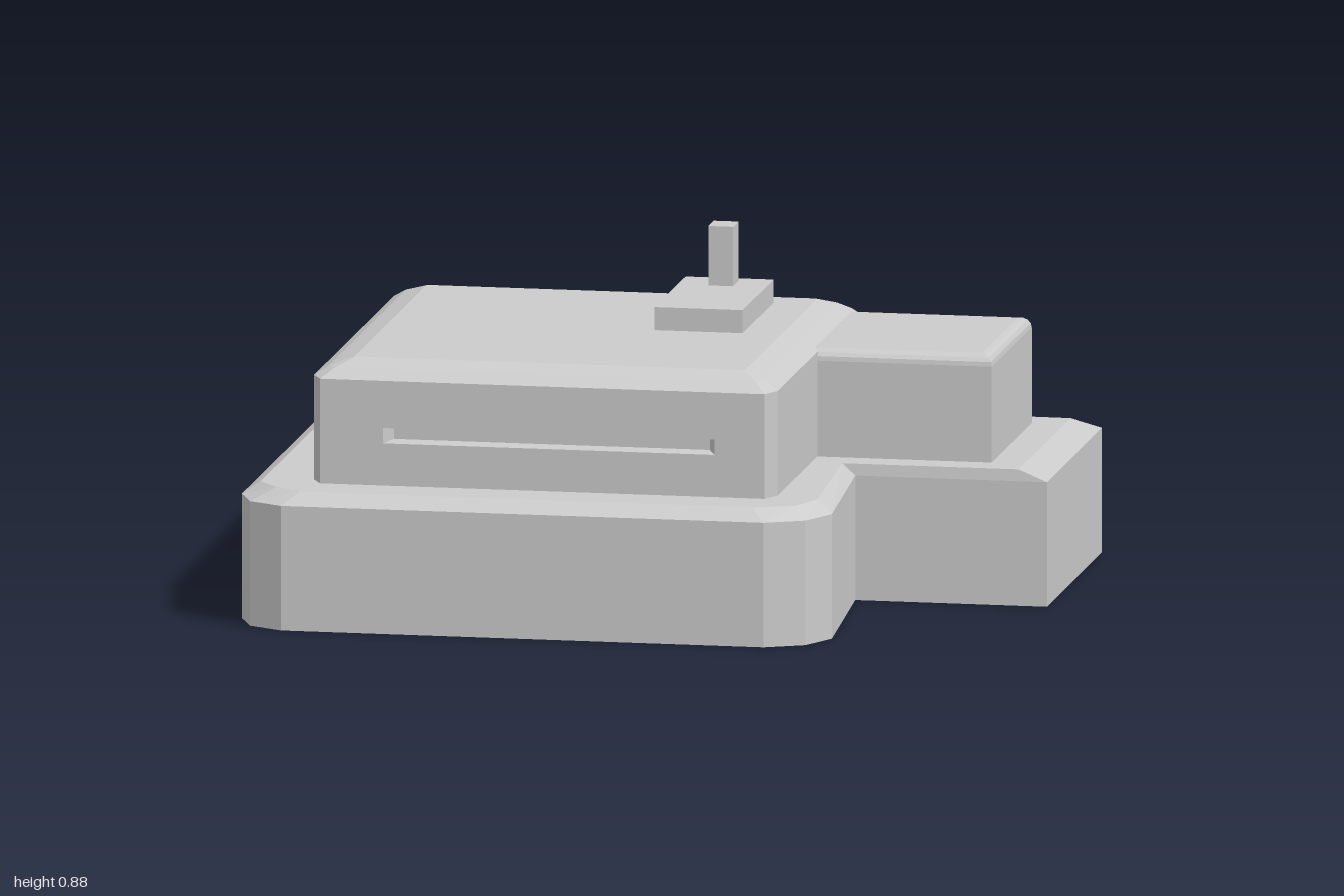
import * as THREE from 'three';

const material = new THREE.MeshStandardMaterial({ color: 0xcccccc, flatShading: true });
const openMaterial = new THREE.MeshStandardMaterial({ color: 0xcccccc, flatShading: true, side: THREE.DoubleSide });

// Joins stacked outlines [x, z] (counterclockwise from above) into a solid.
// skip: index of a lowest-tier wall to leave open.
function loft(levels, { skip = -1, top = true, bottom = true } = {}) {
  const pos = [];
  const tri = (...pts) => pts.forEach(p => pos.push(...p));
  const rings = levels.map(([y, pts]) => pts.map(([x, z]) => [x, y, z]));
  const n = rings[0].length;
  for (let k = 0; k < rings.length - 1; k++) {
    for (let i = 0; i < n; i++) {
      if (k === 0 && i === skip) continue;
      const j = (i + 1) % n;
      const a = rings[k][i], b = rings[k][j], c = rings[k + 1][j], d = rings[k + 1][i];
      tri(a, b, c);
      tri(a, c, d);
    }
  }
  const cap = (ring, up) => {
    const flat = ring.map(p => new THREE.Vector2(p[0], -p[2]));
    for (const [a, b, c] of THREE.ShapeUtils.triangulateShape(flat, [])) {
      if (up) tri(ring[a], ring[b], ring[c]);
      else tri(ring[a], ring[c], ring[b]);
    }
  };
  if (bottom) cap(rings[0], false);
  if (top) cap(rings[rings.length - 1], true);
  const geo = new THREE.BufferGeometry();
  geo.setAttribute('position', new THREE.Float32BufferAttribute(pos, 3));
  geo.computeVertexNormals();
  return geo;
}

// Rectangle with clipped corners; the front edge is segment 1.
function clipped(x0, x1, z0, z1, cx, cz = cx) {
  return [
    [x0, z1 - cz], [x0 + cx, z1], [x1 - cx, z1], [x1, z1 - cz],
    [x1, z0 + cz], [x1 - cx, z0], [x0 + cx, z0], [x0, z0 + cz],
  ];
}

const rect = (x0, x1, y0, y1) => [[x0, y0], [x1, y0], [x1, y1], [x0, y1]];

export function createModel() {
  const group = new THREE.Group();
  const add = (name, geo, mat = material) => {
    const mesh = new THREE.Mesh(geo, mat);
    mesh.name = name;
    group.add(mesh);
    return mesh;
  };
  const box = (name, x0, x1, y0, y1, z0, z1) => {
    const geo = new THREE.BoxGeometry(x1 - x0, y1 - y0, z1 - z0);
    add(name, geo.translate((x0 + x1) / 2, (y0 + y1) / 2, (z0 + z1) / 2));
  };

  // Stepped base with a side wing and a bevelled upper rim
  const outer = [
    [-1, 0.62], [-0.96, 0.72], [-0.87, 0.77], [0.39, 0.77], [0.49, 0.72], [0.54, 0.62],
    [0.5, 0.085], [1, 0.085], [1, -0.68], [0.495, -0.695], [0.49, -0.72],
    [0.39, -0.77], [-0.87, -0.77], [-0.96, -0.72], [-1, -0.62],
  ];
  const inner = [
    [-0.955, 0.6], [-0.9, 0.67], [-0.83, 0.72], [0.35, 0.72], [0.455, 0.68], [0.495, 0.58],
    [0.465, 0.08], [0.925, 0.08], [0.925, -0.64], [0.46, -0.65], [0.455, -0.665],
    [0.35, -0.72], [-0.83, -0.72], [-0.9, -0.67], [-0.955, -0.6],
  ];
  add('base', loft([[0, outer], [0.325, outer], [0.355, inner]]));

  // Main housing with a softened top; its front wall is made separately
  const x0 = -0.825, x1 = 0.385, z0 = -0.61, z1 = 0.6;
  const yWall = 0.628;
  const wall = clipped(x0, x1, z0, z1, 0.025, 0.05);
  add('housing', loft([
    [0.35, wall],
    [yWall, wall],
    [0.65, clipped(x0 + 0.035, x1 - 0.035, z0 + 0.045, z1 - 0.045, 0.02, 0.03)],
    [0.67, clipped(x0 + 0.095, x1 - 0.095, z0 + 0.105, z1 - 0.1, 0.005)],
  ], { skip: 1 }));

  // Front wall with the slot cut through it
  const toPoints = pts => pts.map(p => new THREE.Vector2(...p));
  const slot = rect(-0.635, 0.23, 0.465, 0.505);
  const front = new THREE.Shape(toPoints(rect(x0 + 0.025, x1 - 0.025, 0.35, yWall)));
  front.holes.push(new THREE.Path(toPoints(slot)));
  add('housingFront', new THREE.ShapeGeometry(front).translate(0, 0, z1));

  // Slot recess, tapered at its ends
  const lay = pts => pts.map(([x, y]) => [x, -y]);
  const recess = loft([
    [-0.04, lay(rect(-0.615, 0.21, 0.47, 0.5))],
    [0, lay(slot)],
  ], { top: false });
  add('slotRecess', recess.rotateX(Math.PI / 2).translate(0, 0, z1), openMaterial);

  // Side housing with rounded upper edges
  const sideLevels = [[0.35, rect(0.3, 0.84, -0.555, 0).map(([x, z]) => [x, z])]];
  const r = 0.03;
  for (let i = 0; i <= 4; i++) {
    const a = (i / 4) * Math.PI / 2;
    const inset = r * (1 - Math.cos(a));
    sideLevels.push([0.605 + r * Math.sin(a), rect(0.3, 0.84 - inset, -0.555 + inset, -inset)]);
  }
  // rect runs back to front, so reverse each outline to face outward
  sideLevels.forEach(level => level[1].reverse());
  add('sideHousing', loft(sideLevels));

  // Switch plate and its upright lever
  box('switchPlate', -0.04, 0.19, 0.65, 0.73, -0.43, 0);
  box('lever', 0.04, 0.105, 0.72, 0.885, -0.395, -0.32);

  return group;
}
